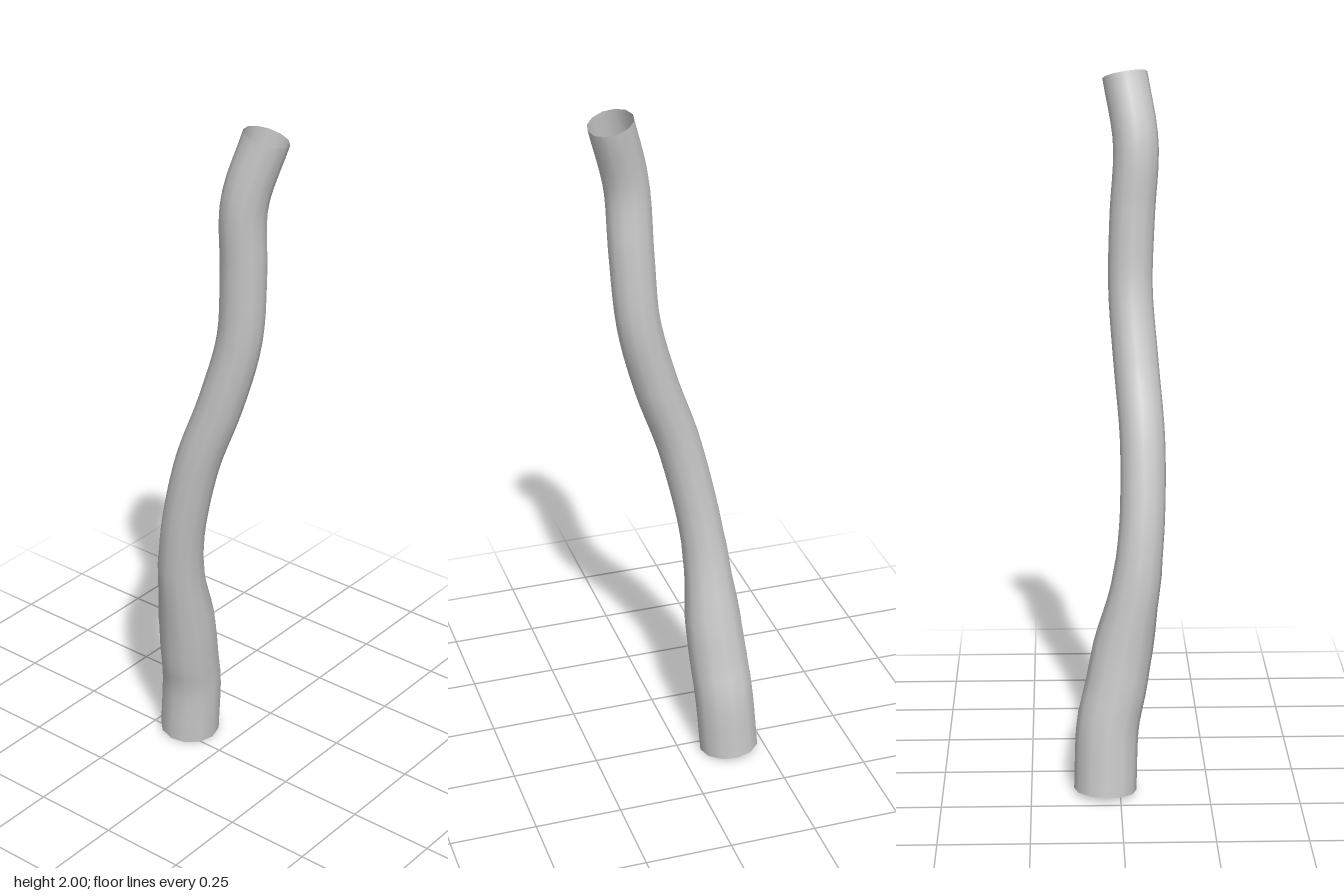
import * as THREE from 'three';

// Centre line and radius from the foot to the tip: x, y, z, radius
const SECTIONS = [
  [-0.148, 0.01, -0.042, 0.088],
  [-0.133, 0.2, -0.034, 0.088],
  [-0.124, 0.3, -0.013, 0.087],
  [-0.115, 0.4, 0.005, 0.085],
  [-0.104, 0.6, 0.045, 0.069],
  [-0.092, 0.7, 0.057, 0.064],
  [-0.074, 0.8, 0.064, 0.063],
  [-0.024, 1.0, 0.065, 0.063],
  [0.046, 1.2, 0.049, 0.063],
  [0.098, 1.4, 0.035, 0.062],
  [0.114, 1.6, 0.04, 0.063],
  [0.124, 1.8, 0.05, 0.063],
  [0.172, 1.982, 0.021, 0.063],
];
const SIDES = 12;
const STEPS = 48;

// Radius at a given height, blended between the sections
function radiusAt(y) {
  let i = 1;
  while (i < SECTIONS.length - 1 && SECTIONS[i][1] < y) i++;
  const [a, b] = [SECTIONS[i - 1], SECTIONS[i]];
  return THREE.MathUtils.lerp(a[3], b[3], THREE.MathUtils.smoothstep(y, a[1], b[1]));
}

export function createModel() {
  const path = new THREE.CatmullRomCurve3(SECTIONS.map(([x, y, z]) => new THREE.Vector3(x, y, z)));
  const geometry = new THREE.TubeGeometry(path, STEPS, 1, SIDES, false);

  // Scale each ring of the unit tube about the centre line
  const pos = geometry.attributes.position;
  const v = new THREE.Vector3();
  for (let i = 0; i <= STEPS; i++) {
    const centre = path.getPointAt(i / STEPS);
    const r = radiusAt(centre.y);
    for (let j = 0; j <= SIDES; j++) {
      const k = i * (SIDES + 1) + j;
      v.fromBufferAttribute(pos, k).sub(centre).multiplyScalar(r).add(centre);
      pos.setXYZ(k, v.x, v.y, v.z);
    }
  }

  // Open-ended hollow stem
  const stem = new THREE.Mesh(
    geometry,
    new THREE.MeshStandardMaterial({ color: 0xcccccc, side: THREE.DoubleSide })
  );
  stem.name = 'stem';

  const group = new THREE.Group();
  group.name = 'curvedStem';
  group.add(stem);
  return group;
}
